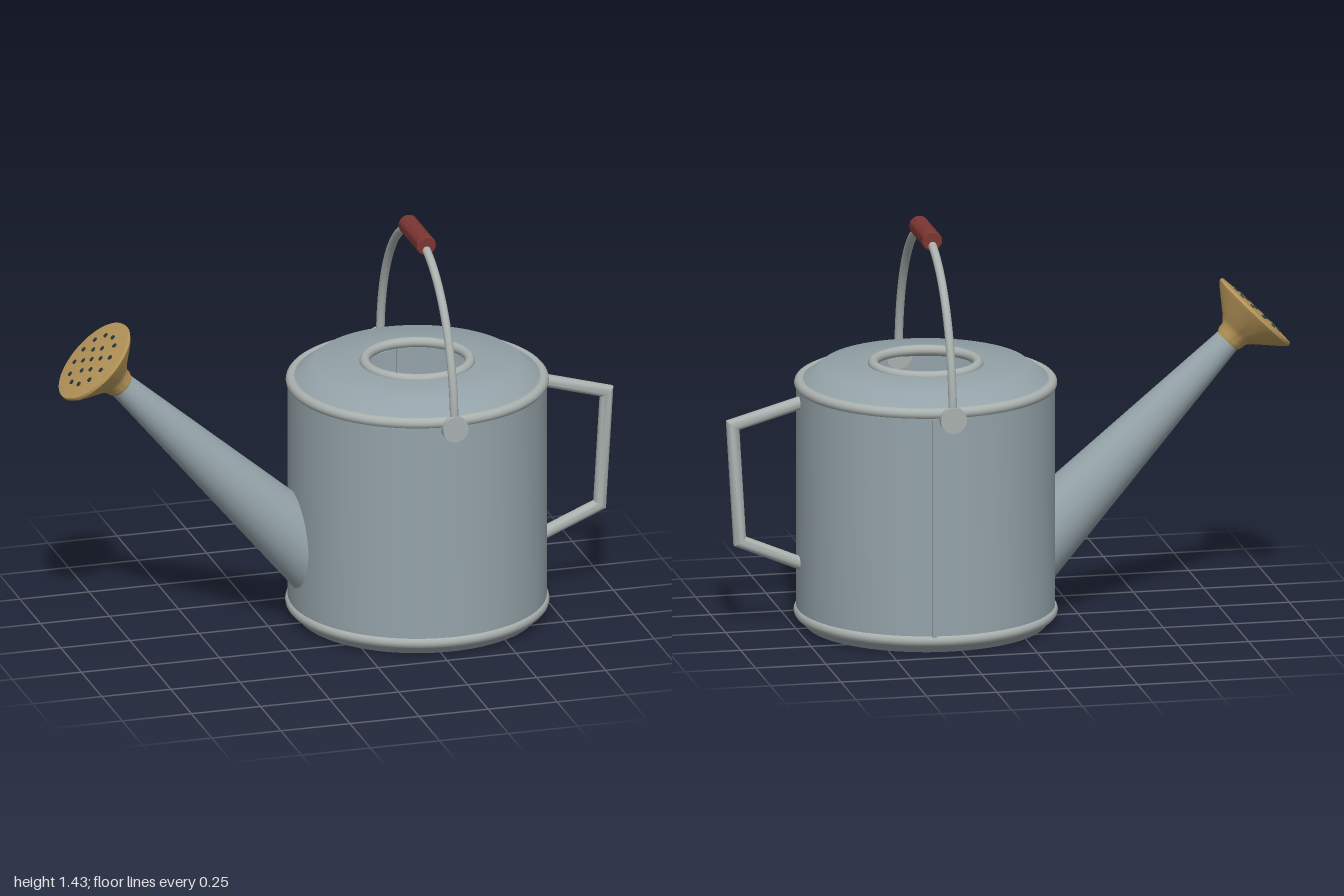
import * as THREE from 'three';
import { toCreasedNormals } from 'three/addons/utils/BufferGeometryUtils.js';

const CX = 0.29; // axis of the can
const paint = (color, side = THREE.FrontSide) => {
  const m = new THREE.MeshStandardMaterial({ side });
  m.color.set(color);
  return m;
};
const zinc = paint(0x94a3a9, THREE.DoubleSide);
const trim = paint(0xa9b0ae, THREE.DoubleSide);
const brass = paint(0xb8975a, THREE.DoubleSide);
const red = paint(0x7c3632);
const dark = paint(0x2b383d);

function add(parent, name, geometry, material, x = 0, y = 0, z = 0) {
  const mesh = new THREE.Mesh(geometry, material);
  mesh.name = name;
  mesh.position.set(x, y, z);
  parent.add(mesh);
  return mesh;
}

function lathe(points, segments, crease = 0.7) {
  const profile = points.map(([r, y]) => new THREE.Vector2(r, y));
  return toCreasedNormals(new THREE.LatheGeometry(profile, segments), crease);
}

// Round bar along a polyline in the xy plane, with mitred corners
function mitredBar(points, radius) {
  const pts = points.map(([x, y]) => new THREE.Vector2(x, y));
  const last = pts.length - 1;
  const geo = new THREE.CylinderGeometry(radius, radius, last, 20, last, true);
  const pos = geo.attributes.position;
  for (let i = 0; i < pos.count; i++) {
    const k = Math.round(last / 2 - pos.getY(i));
    const before = pts[Math.max(k, 1)].clone().sub(pts[Math.max(k, 1) - 1]).normalize();
    const n = Math.min(k, last - 1);
    const after = pts[n + 1].clone().sub(pts[n]).normalize();
    const t = before.clone().add(after).normalize();
    const across = pos.getX(i) / t.dot(after);
    pos.setXYZ(i, pts[k].x - t.y * across, pts[k].y + t.x * across, -pos.getZ(i));
  }
  // keep the faces pointing outward
  const idx = geo.index.array;
  const a = new THREE.Vector3().fromBufferAttribute(pos, idx[0]);
  const b = new THREE.Vector3().fromBufferAttribute(pos, idx[1]);
  const c = new THREE.Vector3().fromBufferAttribute(pos, idx[2]);
  const normal = b.clone().sub(a).cross(c.clone().sub(a));
  const mid = pts[0].clone().add(pts[1]).multiplyScalar(0.5);
  const out = a.add(b).add(c).divideScalar(3).sub(new THREE.Vector3(mid.x, mid.y, 0));
  const along = new THREE.Vector3(pts[1].x - pts[0].x, pts[1].y - pts[0].y, 0).normalize();
  out.addScaledVector(along, -out.dot(along));
  if (normal.dot(out) < 0) {
    for (let i = 0; i < idx.length; i += 3) [idx[i], idx[i + 1]] = [idx[i + 1], idx[i]];
  }
  return toCreasedNormals(geo, 0.6);
}

function addRing(parent, name, radius, tube, y) {
  add(parent, name, new THREE.TorusGeometry(radius, tube, 14, 72), trim, 0, y).rotation.x = Math.PI / 2;
}

export function createModel() {
  const model = new THREE.Group();
  model.name = 'wateringCan';

  // Can: base, wall, sloping shoulder and open mouth
  const can = new THREE.Group();
  can.name = 'can';
  can.position.x = CX;
  model.add(can);
  add(can, 'body', lathe([
    [0, 0], [0.42, 0], [0.45, 0.035], [0.45, 0.86], [0.42, 0.88], [0.36, 0.924], [0.18, 0.928],
  ], 72), zinc);
  add(can, 'innerFloor', new THREE.CircleGeometry(0.44, 48), dark, 0, 0.05).rotation.x = -Math.PI / 2;
  addRing(can, 'baseRing', 0.437, 0.022, 0.047);
  addRing(can, 'topRing', 0.437, 0.02, 0.86);
  addRing(can, 'mouthRing', 0.183, 0.018, 0.928);

  // Vertical seam on the back of the wall
  const seamAngle = 0.14;
  const seam = add(can, 'seam', new THREE.BoxGeometry(0.014, 0.78, 0.012), zinc,
    0.45 * Math.sin(seamAngle), 0.45, -0.45 * Math.cos(seamAngle));
  seam.rotation.y = -seamAngle;

  // Tapered spout, leaning 45 degrees
  const spout = new THREE.Group();
  spout.name = 'spout';
  spout.position.set(-0.79, 0.96, 0);
  spout.rotation.z = Math.PI / 4;
  model.add(spout);
  add(spout, 'spoutTube', new THREE.CylinderGeometry(0.045, 0.137, 1.04, 40, 1, true), zinc, 0, -0.52);

  // Flared rose with a ring pattern of holes
  add(spout, 'rose', lathe([
    [0.046, -0.015], [0.053, 0], [0.056, 0.02], [0.074, 0.04], [0.155, 0.108],
    [0.166, 0.122], [0.164, 0.131], [0.1, 0.136], [0, 0.139],
  ], 48), brass);
  const holes = new THREE.Group();
  holes.name = 'roseHoles';
  spout.add(holes);
  const holeGeo = new THREE.CylinderGeometry(0.009, 0.009, 0.008, 10);
  [[1, 0], [6, 0.052], [12, 0.105]].forEach(([count, radius]) => {
    for (let i = 0; i < count; i++) {
      const a = (i / count) * Math.PI * 2;
      add(holes, 'roseHole', holeGeo, dark, radius * Math.cos(a), 0.137 - radius * 0.02, radius * Math.sin(a));
    }
  });

  // Swinging carry handle: wire arch, ears and grip
  const bail = new THREE.Group();
  bail.name = 'carryHandle';
  bail.position.set(CX, 0.84, 0);
  model.add(bail);
  const arch = [];
  for (let i = 0; i <= 24; i++) {
    const a = (i / 24) * Math.PI;
    arch.push(new THREE.Vector3(0, 0.555 * Math.sin(a), 0.452 * Math.cos(a)));
  }
  add(bail, 'wireArch', new THREE.TubeGeometry(new THREE.CatmullRomCurve3(arch), 72, 0.015, 14), trim);
  for (const s of [-1, 1]) {
    add(bail, 'ear', new THREE.CylinderGeometry(0.046, 0.046, 0.03, 28), trim, 0, 0, s * 0.457).rotation.x = Math.PI / 2;
  }
  const grip = lathe([[0, -0.115], [0.031, -0.115], [0.035, -0.111], [0.035, 0.111], [0.031, 0.115], [0, 0.115]], 28);
  add(bail, 'grip', grip, red, 0, 0.553).rotation.x = Math.PI / 2;

  // Angular pouring handle on the side opposite the spout
  add(model, 'sideHandle', mitredBar([[0.7, 0.82], [0.975, 0.742], [0.95, 0.325], [0.7, 0.22]], 0.023), trim);

  return model;
}
